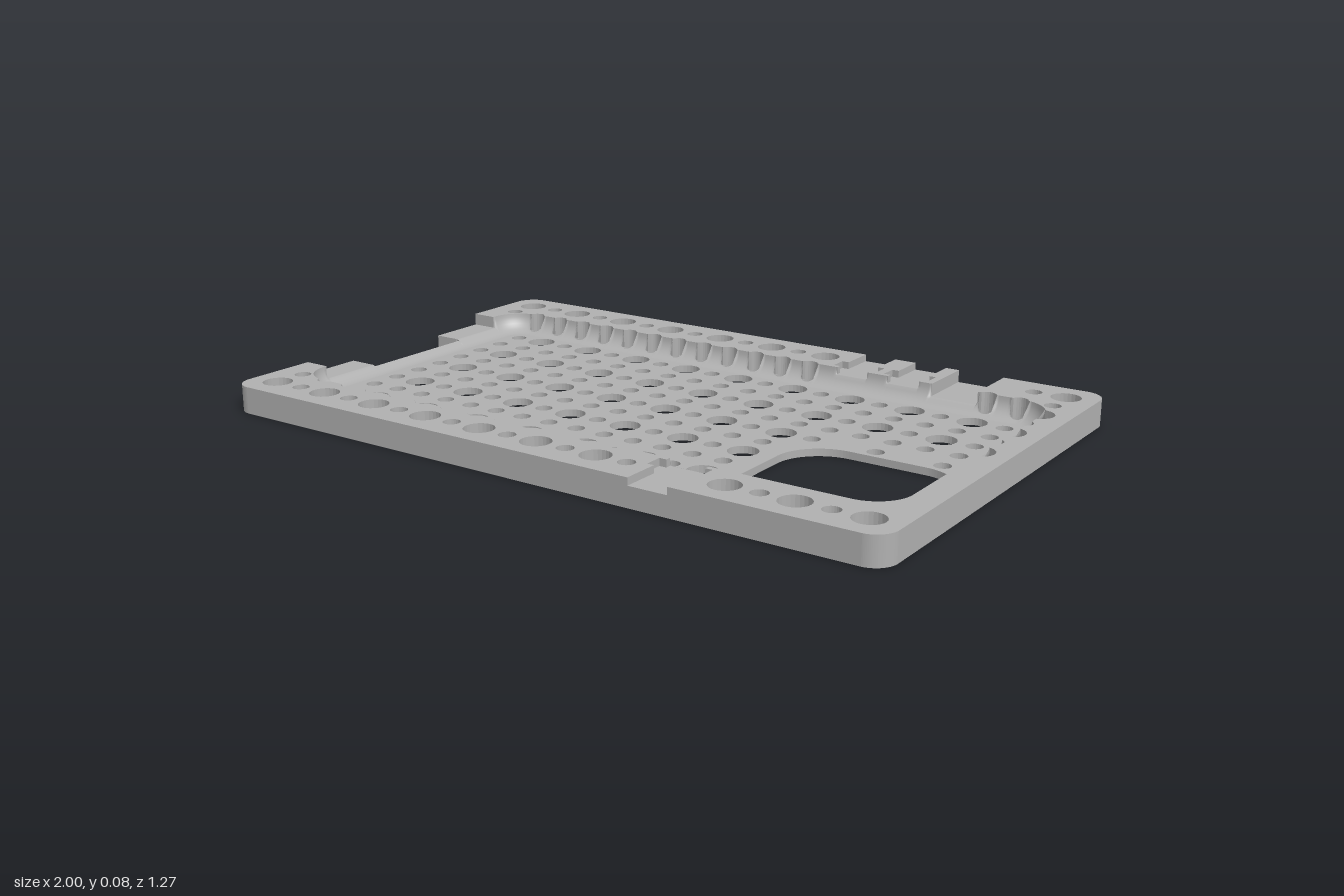
import * as THREE from 'three';

const HX = 1, HZ = 0.635, RO = 0.06;            // outer outline
const CX = 0.925, CZ = 0.465, RC = 0.1;         // cavity outline
const FLOOR = 0.02, LOW = 0.04, MID = 0.055, TOP = 0.075;
const FIL = 0.055, D0 = RC - FIL;               // fillet between floor and rim
const PITCH = 0.0915;
const WIN = { x0: 0.455, x1: 0.925, z0: 0.035, z1: 0.465, r: 0.13 };
const NOTCH = { x: -0.91, z: 0.183 }, SIDE_STEP = 0.36;
const CH1 = [0.27, 0.365], CH2 = [0.43, 0.525], CH3 = [0.565, 0.7], FRONT = [0.34, 0.45];

// Perforation: large holes on even grid points, small holes elsewhere
const rows = {
  '-6': [[-10, 2], [9, 10]], '-5': [[-10, 2], [8, 10]],
  '-4': [[-9, 10]], '-3': [[-9, 10]], '-2': [[-9, 10]], '-1': [[-9, 10]],
  '0': [[-9, 5], [7, 7], [9, 10]],
  '1': [[-9, 4]], '2': [[-9, 4]], '3': [[-9, 4]], '4': [[-9, 4]],
  '5': [[-10, 2]], '6': [[-10, 3], [6, 10]],
};
const holes = [];
for (const [j, spans] of Object.entries(rows)) {
  for (const [a, b] of spans) {
    for (let i = a; i <= b; i++) {
      holes.push({ x: i * PITCH, z: j * PITCH, r: i % 2 === 0 && j % 2 === 0 ? 0.041 : 0.023 });
    }
  }
}
const inHole = (x, z) => holes.some(h => (x - h.x) ** 2 + (z - h.z) ** 2 < h.r ** 2);
function inWindow(x, z) {
  const dx = Math.abs(x - (WIN.x0 + WIN.x1) / 2) - (WIN.x1 - WIN.x0) / 2 + WIN.r;
  const dz = Math.abs(z - (WIN.z0 + WIN.z1) / 2) - (WIN.z1 - WIN.z0) / 2 + WIN.r;
  return Math.hypot(Math.max(dx, 0), Math.max(dz, 0)) + Math.min(Math.max(dx, dz), 0) < WIN.r;
}
const inCut = (x, z) => inHole(x, z) || inWindow(x, z) || (x < NOTCH.x && Math.abs(z) < NOTCH.z);

// Stations around the cavity: left, front, right, back, left
function makeStations() {
  const X = CX - RC, Z = CZ - RC, list = [];
  const add = (side, c, qx, qz, nx, nz, ox, oz) => {
    const at = t => [qx + nx * t, qz + nz * t];
    let end = D0, out = RC;
    while (end < RC && !inCut(...at(end))) end += 0.0005;
    while (inHole(...at(out))) out += 0.0005;
    list.push({ side, c, at, end: Math.min(end, RC), inner: at(out), outer: [ox, oz] });
  };
  const coords = (a, b, extra) => {
    const n = Math.ceil(Math.abs(b - a) / (PITCH / 16)), s = new Set(extra);
    for (let i = 0; i <= n; i++) s.add(a + (b - a) * i / n);
    return [...s].sort((p, q) => (p - q) * Math.sign(b - a));
  };
  const corner = (sx, sz, a0) => {
    for (let k = 1; k < 24; k++) {
      const a = a0 - k / 24 * Math.PI / 2, nx = Math.cos(a), nz = Math.sin(a);
      add(-1, 0, sx * X, sz * Z, nx, nz, sx * (HX - RO) + RO * nx, sz * (HZ - RO) + RO * nz);
    }
  };
  for (const z of coords(0, Z, [NOTCH.z, SIDE_STEP])) add(0, z, -X, z, -1, 0, -HX, z);
  corner(-1, 1, Math.PI);
  for (const x of coords(-X, X, FRONT)) add(1, x, x, Z, 0, 1, x, HZ);
  corner(1, 1, Math.PI / 2);
  for (const z of coords(Z, -Z, [])) add(2, z, X, z, 1, 0, HX, z);
  corner(1, -1, 0);
  for (const x of coords(X, -X, [...CH1, ...CH2, ...CH3])) add(3, x, x, -Z, 0, -1, x, -HZ);
  corner(-1, -1, -Math.PI / 2);
  for (const z of coords(-Z, 0, [-NOTCH.z, -SIDE_STEP])) add(4, z, -X, z, -1, 0, -HX, z);
  return list;
}

function contains(pts, x, z) {
  let inside = false;
  for (let i = 0, j = pts.length - 1; i < pts.length; j = i++) {
    const [ax, az] = pts[i], [bx, bz] = pts[j];
    if ((az > z) !== (bz > z) && x < (bx - ax) * (z - az) / (bz - az) + ax) inside = !inside;
  }
  return inside;
}

// Flat slab of an outline in x and z, pierced by every hole centred in it
function slab(pts, y0, y1, window = false) {
  const shape = new THREE.Shape(pts.map(([x, z]) => new THREE.Vector2(x, -z)));
  for (const h of holes) {
    if (contains(pts, h.x, h.z)) {
      const p = new THREE.Path();
      p.absarc(h.x, -h.z, h.r, 0, Math.PI * 2);
      shape.holes.push(p);
    }
  }
  if (window) {
    const { x0, x1, z0, z1, r } = WIN, p = new THREE.Path();
    p.absarc(x1 - r, -z0 - r, r, 0, Math.PI / 2);
    p.absarc(x0 + r, -z0 - r, r, Math.PI / 2, Math.PI);
    p.absarc(x0 + r, -z1 + r, r, Math.PI, Math.PI * 1.5);
    p.absarc(x1 - r, -z1 + r, r, Math.PI * 1.5, Math.PI * 2);
    shape.holes.push(p);
  }
  const geo = new THREE.ExtrudeGeometry(shape, { depth: y1 - y0, bevelEnabled: false, curveSegments: 12 });
  return geo.rotateX(-Math.PI / 2).translate(0, y0, 0);
}

// Grid surface over rows of points, leaving out collapsed cells
function loft(grid) {
  const w = grid[0].length, idx = [];
  const same = (a, b) => Math.hypot(a[0] - b[0], a[1] - b[1], a[2] - b[2]) < 1e-6;
  for (let i = 0; i + 1 < grid.length; i++) {
    for (let k = 0; k + 1 < w; k++) {
      const tri = (...t) => {
        const [a, b, c] = t.map(n => grid[Math.floor(n / w)][n % w]);
        if (!same(a, b) && !same(b, c) && !same(a, c)) idx.push(...t);
      };
      const a = i * w + k, b = a + w;
      tri(a, a + 1, b);
      tri(a + 1, b + 1, b);
    }
  }
  const geo = new THREE.BufferGeometry();
  geo.setAttribute('position', new THREE.Float32BufferAttribute(grid.flat(2), 3));
  geo.setIndex(idx);
  geo.computeVertexNormals();
  return geo;
}

export function createModel() {
  const group = new THREE.Group();
  const grey = new THREE.MeshStandardMaterial({ color: 0xb0b0b0, side: THREE.DoubleSide });
  grey.name = 'grey';
  const add = (name, geo) => {
    const mesh = new THREE.Mesh(geo, grey);
    mesh.name = name;
    group.add(mesh);
  };
  const st = makeStations();
  const find = (side, c) => st.findIndex(s => s.side === side && s.c === c);

  // Rim piece between two stations; flares widen the channel ends near the cavity
  const flare = (x, s, dx) => [[x, s * 0.53], [x + dx, s * 0.53], [x + dx, s * 0.48], [x, s * 0.48]];
  const section = (from, to, flareFrom = 0, flareTo = 0) => {
    const part = st.slice(find(...from), find(...to) + 1);
    const ends = ([side, c], f) => (f ? flare(c, side === 1 ? 1 : -1, f) : []);
    return [...part.map(s => s.outer), ...ends(to, flareTo),
      ...part.map(s => s.inner).reverse(), ...ends(from, flareFrom).reverse()];
  };

  // Perforated floor with the window and the side notch
  const floorEdge = st.slice(find(0, NOTCH.z), find(4, -NOTCH.z) + 1).map(s => s.outer);
  add('floor', slab([...floorEdge, [NOTCH.x, -NOTCH.z], [NOTCH.x, NOTCH.z]], 0, FLOOR, true));

  // Rim, in layers that open at the notch, the side steps and the channels
  add('rimLower', slab(section([0, NOTCH.z], [4, -NOTCH.z]), FLOOR, LOW));
  add('rimMiddle', slab(section([0, SIDE_STEP], [3, CH3[1]]), LOW, MID));
  add('rimMiddleBack', slab(section([3, CH3[0]], [4, -SIDE_STEP]), LOW, MID));
  const F = 0.02;
  const upper = {
    rimFrontLeft: section([0, SIDE_STEP], [1, FRONT[0]], 0, -F),
    rimRight: section([1, FRONT[1]], [3, CH3[1]], F, 0),
    channelBlockOuter: section([3, CH3[0]], [3, CH2[1]], 0, F),
    channelBlockInner: section([3, CH2[0]], [3, CH1[1]], -F, F),
    rimBackLeft: section([3, CH1[0]], [4, -SIDE_STEP], -F, 0),
  };
  for (const [name, pts] of Object.entries(upper)) add(name, slab(pts, MID, TOP));

  // Curved fillet from floor to rim, cut short at holes, window and notch
  const within = (x, [a, b]) => x >= a && x <= b;
  const limit = (x, z) => {
    if (x < -0.8 && Math.abs(z) <= SIDE_STEP) return LOW;
    if (z < 0 && within(x, CH3)) return LOW;
    if (z < 0 ? within(x, CH1) || within(x, CH2) : within(x, FRONT)) return MID;
    return TOP;
  };
  const filletPoint = (s, t) => {
    const [x, z] = s.at(t), a = Math.min((t - D0) / FIL, 1);
    return [x, Math.min(FLOOR + FIL * (1 - Math.sqrt(1 - a * a)), limit(x, z)), z];
  };
  const K = 8;
  add('cavityFillet', loft(st.map(s => Array.from({ length: K + 1 }, (_, k) =>
    filletPoint(s, D0 + (s.end - D0) * Math.sin(k / K * Math.PI / 2))))));
  add('filletCutWalls', loft(st.map(s => {
    const p = filletPoint(s, s.end);
    return [p, [p[0], s.end < RC ? FLOOR : p[1], p[2]]];
  })));
  return group;
}
